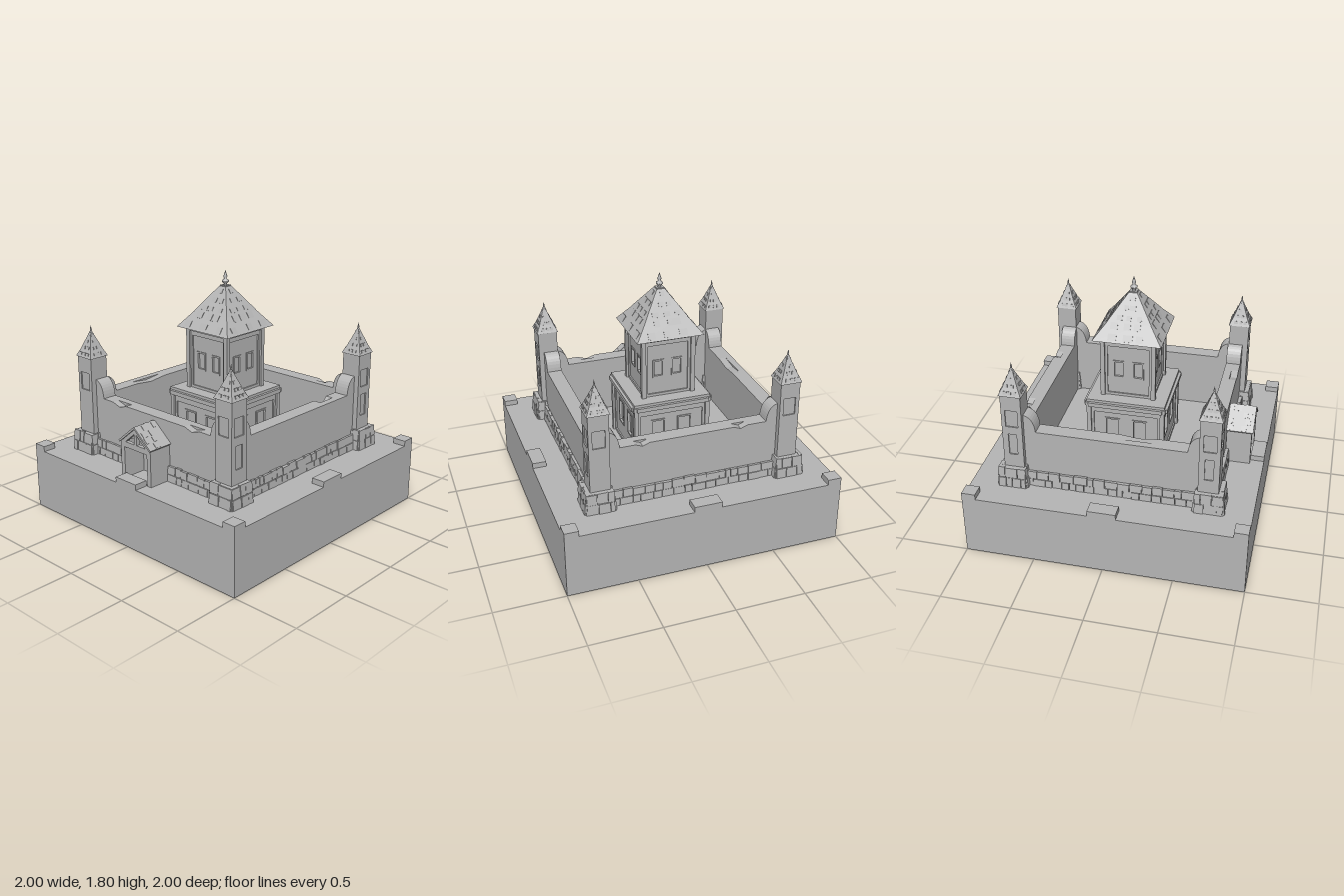
import * as THREE from 'three';

const stone = new THREE.MeshStandardMaterial({ color: 0xb6b6b6 });
stone.name = 'pale grey stone';

let seed = 7;
const rnd = (a, b) => {
  seed = (seed * 16807) % 2147483647;
  return a + (b - a) * (seed / 2147483647);
};

function add(parent, name, geo, x = 0, y = 0, z = 0) {
  const m = new THREE.Mesh(geo, stone);
  m.name = name;
  m.position.set(x, y, z);
  parent.add(m);
  return m;
}

function group(parent, name, x = 0, y = 0, z = 0, turn = 0) {
  const g = new THREE.Group();
  g.name = name;
  g.position.set(x, y, z);
  g.rotation.y = turn;
  parent.add(g);
  return g;
}

// box given by its bottom height and top height
const block = (p, name, w, y0, y1, d, x = 0, z = 0) =>
  add(p, name, new THREE.BoxGeometry(w, y1 - y0, d), x, (y0 + y1) / 2, z);

// square frustum from half-width a at y0 to half-width b at y1
function frustum(p, name, a, b, y0, y1) {
  const g = new THREE.CylinderGeometry(b * Math.SQRT2, a * Math.SQRT2, y1 - y0, 4)
    .rotateY(Math.PI / 4).toNonIndexed();
  g.computeVertexNormals();
  return add(p, name, g, 0, (y0 + y1) / 2, 0);
}

const polygon = (pts) => new THREE.Shape(pts.map(([x, y]) => new THREE.Vector2(x, y)));
const rect = (x0, x1, y0, y1) => [[x0, y0], [x1, y0], [x1, y1], [x0, y1]];

// flat plate with holes, from z to z + depth
function plate(p, name, pts, holes, z, depth) {
  const s = polygon(pts);
  holes.forEach((h) => s.holes.push(polygon(h)));
  return add(p, name, new THREE.ExtrudeGeometry(s, { depth, bevelEnabled: false }), 0, 0, z);
}

const sides = (p, name, fn) => {
  for (let k = 0; k < 4; k++) fn(group(p, name, 0, 0, 0, k * Math.PI / 2), k);
};

// scattered thin shingles on the four slopes of a frustum roof
function shingles(p, a, b, y0, y1, rows, size) {
  const lean = Math.atan2(a - b, y1 - y0);
  sides(p, 'shingleSide', (s) => {
    for (let r = 0; r < rows; r++) {
      const t = (r + 0.5) / rows, half = a + (b - a) * t;
      const n = Math.max(1, Math.round(half * 1.1 / size));
      for (let i = 0; i < n; i++) {
        const x = (rnd(0.2, 0.8) + i - n / 2) * 2 * (half - size * 0.6) / n;
        const m = add(s, 'shingle', new THREE.BoxGeometry(size * rnd(0.6, 1), size * 0.7, 0.006),
          x, y0 + (y1 - y0) * t, half);
        m.rotation.x = -lean + 0.08;
      }
    }
  });
}

// two courses of irregular masonry along x, between heights y0 and y1
function masonry(p, x0, x1, y0, y1, z0, z1) {
  const rows = 2, h = (y1 - y0) / rows;
  for (let r = 0; r < rows; r++) {
    let x = x0;
    while (x < x1 - 0.001) {
      let w = rnd(0.04, 0.1);
      if (x + w > x1 - 0.03) w = x1 - x;
      const z = z0 + (z1 - z0) * (r + 0.5) / rows;
      const top = r === rows - 1 ? rnd(-0.004, 0.006) : -0.003;
      const m = block(p, 'stoneBlock', w - 0.004, y0 + r * h, y0 + (r + 1) * h + top, 0.02,
        x + w / 2, z - 0.006 + rnd(-0.003, 0.003));
      m.rotation.x = -Math.atan2(z0 - z1, y1 - y0);
      x += w;
    }
  }
}

// wall outline with rounded shoulders and a V notch [centre, half-width, depth]
function wallLayer(p, name, notches, z, depth) {
  const s = new THREE.Shape();
  s.moveTo(-0.62, 0.46).lineTo(0.62, 0.46).lineTo(0.62, 1.02);
  s.quadraticCurveTo(0.54, 1.01, 0.53, 0.89);
  notches.forEach(([x, w, d]) => s.lineTo(x + w, 0.89).lineTo(x, 0.89 - d).lineTo(x - w, 0.89));
  s.lineTo(-0.53, 0.89).quadraticCurveTo(-0.54, 1.01, -0.62, 1.02).lineTo(-0.62, 0.46);
  add(p, name, new THREE.ExtrudeGeometry(s, { depth, bevelEnabled: false, curveSegments: 8 }), 0, 0, z);
}

// turned finial from a short profile
const finial = (p, pts, y) => add(p, 'finial',
  new THREE.LatheGeometry(pts.map(([r, h]) => new THREE.Vector2(r, h)), 10), 0, y, 0);

function cornerTower(root, sx, sz) {
  const g = group(root, 'cornerTower', sx * 0.682, 0, sz * 0.685);
  block(g, 'towerCore', 0.126, 0.46, 1.18, 0.126);
  sides(g, 'towerFace', (f, k) => {
    const outerX = k === (sx > 0 ? 1 : 3), outerZ = k === (sz > 0 ? 0 : 2);
    const holes = [];
    if (outerX || outerZ) holes.push(rect(-0.052, 0.052, 0.935, 1.065).map(([x, y]) => [x * 0.85, y]));
    if (outerX) holes.push(rect(-0.03, 0.03, 0.71, 0.875));
    plate(f, 'towerWall', rect(-0.072, 0.072, 0.46, 1.18), holes, 0.06, 0.012);
  });
  // flared masonry foot
  const foot = group(g, 'towerFoot', sx * 0.01, 0, sz * 0.01);
  frustum(foot, 'footCore', 0.104, 0.09, 0.46, 0.608);
  sides(foot, 'footStones', (f) => masonry(f, -0.098, 0.098, 0.46, 0.608, 0.108, 0.094));
  // pointed roof
  frustum(g, 'towerRoof', 0.081, 0.05, 1.18, 1.245);
  frustum(g, 'towerRoofTop', 0.053, 0.006, 1.24, 1.36);
  shingles(g, 0.081, 0.006, 1.185, 1.355, 4, 0.03);
  finial(g, [[0.004, 0], [0.011, 0.012], [0.005, 0.022], [0.007, 0.03], [0, 0.06]], 1.345);
}

// one storey: recessed core, panelled faces with framed windows, corner posts
function storey(p, name, half, y0, y1, win) {
  const g = group(p, name);
  const [wx, ww, wy0, wy1] = win;
  const w = half - 0.05;
  block(g, 'core', 2 * half - 0.08, y0, y1, 2 * half - 0.08);
  sides(g, 'face', (f) => {
    const openings = [-wx, wx].map((x) => rect(x - ww, x + ww, wy0, wy1));
    plate(f, 'panel', rect(-half + 0.03, half - 0.03, y0, y1), openings, half - 0.045, 0.02);
    plate(f, 'panelBorder', rect(-half + 0.015, half - 0.015, y0, y1),
      [rect(-w, w, y0 + 0.02, y1 - 0.06)], half - 0.03, 0.015);
    for (const x of [-wx, wx]) {
      plate(f, 'windowFrame', rect(x - ww - 0.006, x + ww + 0.006, wy0 - 0.006, wy1 + 0.006),
        [rect(x - ww + 0.006, x + ww - 0.006, wy0 + 0.006, wy1 - 0.006)], half - 0.035, 0.016);
    }
    block(f, 'cornerPost', 0.032, y0, y1, 0.032, half - 0.016, half - 0.016);
  });
}

function keep(root) {
  const g = group(root, 'keep');
  storey(g, 'lowerStorey', 0.285, 0.46, 0.89, [0.1, 0.05, 0.6, 0.78]);
  // cornice with notched corners
  for (const [a, b] of [[0.61, 0.54], [0.54, 0.61], [0.585, 0.585]]) block(g, 'cornice', a, 0.885, 0.915, b);
  block(g, 'corniceTop', 0.57, 0.915, 0.935, 0.57);
  storey(g, 'upperStorey', 0.2, 0.935, 1.39, [0.07, 0.036, 1.085, 1.21]);
  block(g, 'eavesBand', 0.4, 1.365, 1.39, 0.4);
  // two-tier roof
  frustum(g, 'roofEaves', 0.247, 0.145, 1.39, 1.52);
  frustum(g, 'roofTop', 0.157, 0.03, 1.508, 1.685);
  shingles(g, 0.247, 0.145, 1.39, 1.52, 2, 0.07);
  shingles(g, 0.157, 0.03, 1.508, 1.685, 3, 0.05);
  block(g, 'roofCap', 0.055, 1.68, 1.692, 0.055);
  finial(g, [[0.016, 0], [0.009, 0.012], [0.025, 0.028], [0.025, 0.036], [0.008, 0.05],
    [0.015, 0.065], [0.008, 0.085], [0, 0.112]], 1.688);
}

function porch(root) {
  const g = group(root, 'gatePorch');
  for (const s of [-1, 1]) block(g, 'porchWall', 0.036, 0.46, 0.73, 0.18, s * 0.129, 0.81);
  // gable ends with tie beam and king post
  const gable = [[-0.147, 0.69], [0.147, 0.69], [0.147, 0.73], [0, 0.85], [-0.147, 0.73]];
  for (const s of [-1, 1]) gable.push();
  const left = [[-0.1, 0.73], [-0.012, 0.73], [-0.012, 0.805]];
  const right = left.map(([x, y]) => [-x, y]);
  plate(g, 'gableTruss', gable, [left, right], 0.87, 0.03);
  plate(g, 'gate', rect(-0.11, 0.11, 0.46, 0.69), [], 0.72, 0.008);
  // roof slopes
  for (const s of [-1, 1]) {
    const slope = group(g, 'roofSlope', s * 0.077, 0.792, 0.814);
    slope.rotation.z = -s * Math.atan2(0.13, 0.155);
    add(slope, 'roofBoard', new THREE.BoxGeometry(0.203, 0.014, 0.192));
    for (let i = 0; i < 8; i++) {
      add(slope, 'shingle', new THREE.BoxGeometry(0.04, 0.005, rnd(0.02, 0.04)),
        -0.075 + 0.05 * (i % 4), 0.008, rnd(-0.075, 0.075)).rotation.z = -s * 0.05;
    }
  }
}

export function createModel() {
  const root = new THREE.Group();
  root.name = 'fortress';

  // ground slab with raised blocks at corners and side centres
  block(root, 'groundSlab', 2, 0, 0.46, 2);
  sides(root, 'slabEdge', (s) => {
    block(s, 'cornerBlock', 0.1, 0.46, 0.5, 0.1, 0.95, 0.95);
    block(s, 'edgeBlock', 0.2, 0.46, 0.5, 0.1, 0, 0.95);
  });

  // curtain walls: chipped outer and inner skins over a sloped stone plinth
  const outerChips = [[[0.36, 0.07, 0.022], [-0.36, 0.07, 0.022]], [], [[0.34, 0.05, 0.02], [-0.37, 0.05, 0.02]], []];
  const innerChips = [[], [[0.35, 0.07, 0.08]], [], [[0.18, 0.14, 0.015]]];
  sides(root, 'curtainWall', (s, k) => {
    wallLayer(s, 'outerSkin', outerChips[k], 0.665, 0.052);
    wallLayer(s, 'innerSkin', innerChips[k], 0.608, 0.057);
    const runs = k === 0 ? [[-0.6, -0.147], [0.147, 0.6]] : [[-0.6, 0.6]];
    for (const [a, b] of runs) {
      block(s, 'plinth', b - a, 0.46, 0.565, 0.04, (a + b) / 2, 0.716);
      masonry(s, a, b, 0.46, 0.57, 0.748, 0.738);
    }
  });

  for (const sx of [-1, 1]) for (const sz of [-1, 1]) cornerTower(root, sx, sz);
  keep(root);
  porch(root);
  return root;
}
